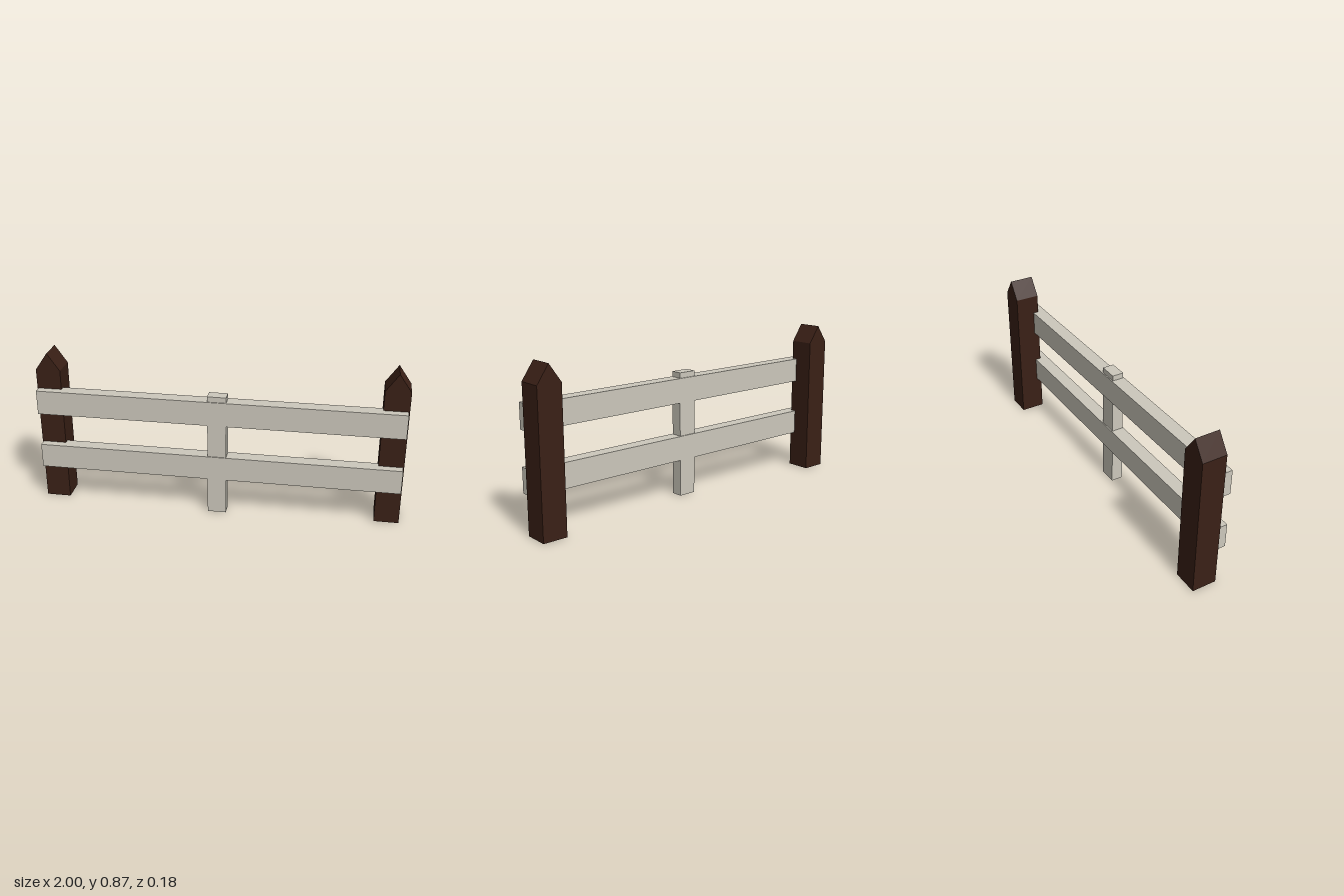
import * as THREE from 'three';

const darkWood = new THREE.MeshStandardMaterial({ color: 0x3a2016, flatShading: true });
const paleWood = new THREE.MeshStandardMaterial({ color: 0xccc8bc, flatShading: true });

// Box given by its extents along each axis
function board(name, [x0, x1], [y0, y1], [z0, z1]) {
  const mesh = new THREE.Mesh(new THREE.BoxGeometry(x1 - x0, y1 - y0, z1 - z0), paleWood);
  mesh.position.set((x0 + x1) / 2, (y0 + y1) / 2, (z0 + z1) / 2);
  mesh.name = name;
  return mesh;
}

// Post with a gabled top, its ridge running front to back
function postGeometry(width, shoulder, peak, depth) {
  const h = width / 2;
  const outline = new THREE.Shape([
    new THREE.Vector2(-h, 0),
    new THREE.Vector2(h, 0),
    new THREE.Vector2(h, shoulder),
    new THREE.Vector2(0, peak),
    new THREE.Vector2(-h, shoulder),
  ]);
  return new THREE.ExtrudeGeometry(outline, { depth, bevelEnabled: false });
}

export function createModel() {
  const fence = new THREE.Group();
  fence.name = 'fence';

  // End posts
  const geometry = postGeometry(0.135, 0.773, 0.87, 0.135);
  for (const [name, side] of [['leftPost', 1], ['rightPost', -1]]) {
    const post = new THREE.Mesh(geometry, darkWood);
    post.position.set(side * 0.9325, 0, -0.09);
    post.name = name;
    fence.add(post);
  }

  // Horizontal rails, let into the front of the posts
  fence.add(board('lowerRail', [-0.994, 0.994], [0.207, 0.343], [0.015, 0.09]));
  fence.add(board('upperRail', [-0.994, 0.994], [0.53, 0.666], [0.015, 0.09]));

  // Central upright, slightly thinner than the rails
  fence.add(board('middleUpright', [-0.052, 0.05], [0, 0.696], [0.021, 0.085]));

  return fence;
}
